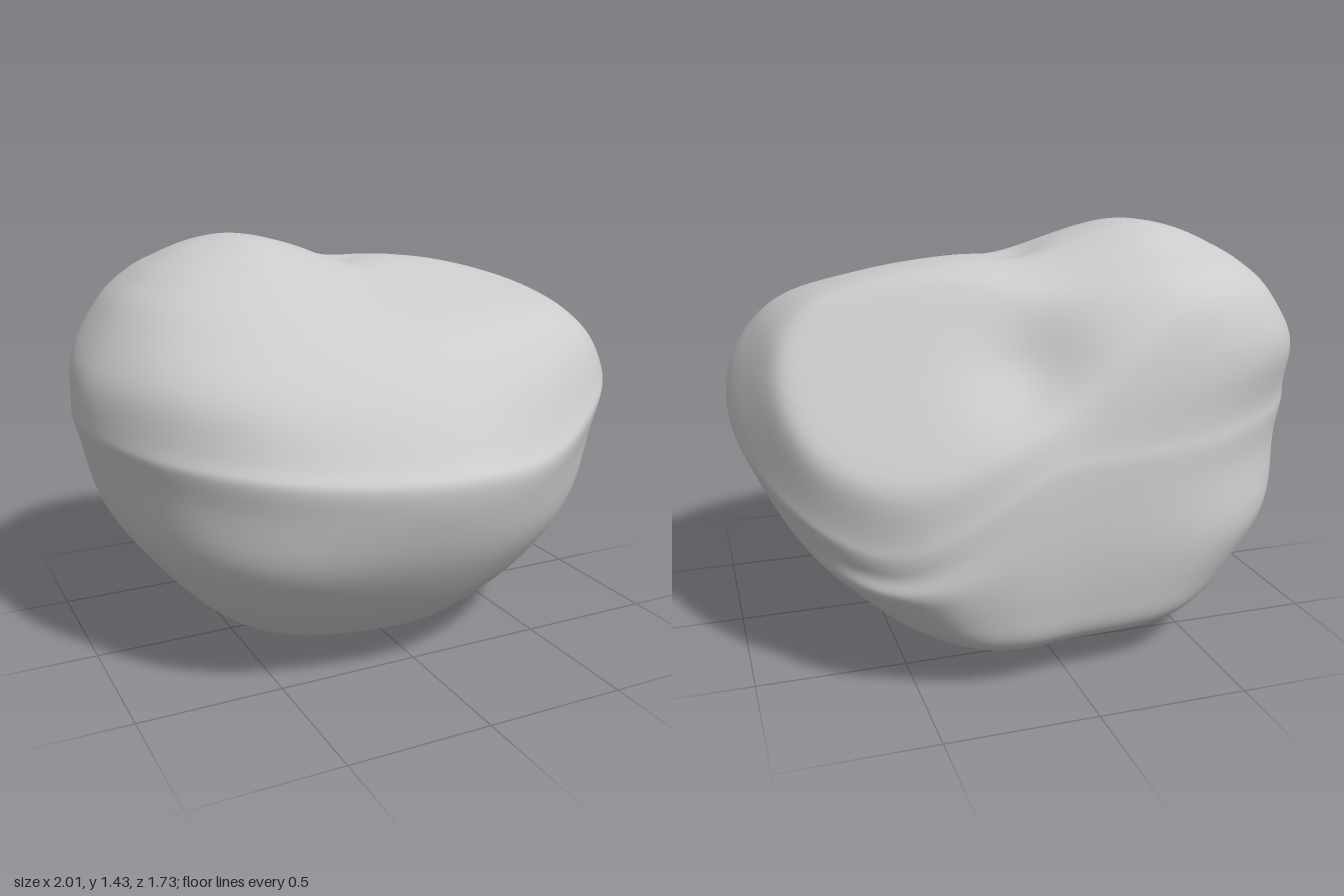
import * as THREE from 'three';

// Horizontal slices: height, xMin, xMax, zMin, zMax, centre x, centre z
const SLICES = [
  [0.0, 0.03, 0.13, -0.1, 0.05, 0.08, 0],
  [0.015, -0.32, 0.17, -0.3, 0.18, 0.05, 0],
  [0.045, -0.43, 0.25, -0.47, 0.31, 0.03, 0],
  [0.1, -0.55, 0.37, -0.67, 0.43, 0.02, 0],
  [0.17, -0.64, 0.56, -0.79, 0.53, 0, 0],
  [0.3, -0.76, 0.72, -0.83, 0.66, 0, 0],
  [0.5, -0.91, 0.87, -0.855, 0.79, 0, 0],
  [0.73, -0.985, 0.98, -0.86, 0.86, 0, 0],
  [0.82, -1.0, 1.0, -0.85, 0.81, 0, 0],
  [1.0, -0.97, 0.94, -0.83, 0.67, 0, -0.04],
  [1.2, -0.85, 0.82, -0.78, 0.43, -0.02, -0.11],
  [1.3, -0.74, 0.74, -0.69, 0.26, -0.04, -0.16],
  [1.36, -0.64, 0.64, -0.55, 0.13, -0.06, -0.19],
  [1.4, -0.55, 0.52, -0.45, 0.03, -0.08, -0.21],
  [1.425, -0.45, 0.38, -0.37, -0.06, -0.1, -0.22],
  [1.44, -0.3, 0.2, -0.3, -0.14, -0.1, -0.22],
  [1.445, -0.11, -0.09, -0.23, -0.21, -0.1, -0.22],
];

// Plan outline (x, z), shared by all slices and stretched to their extents
const OUTLINE = [
  [1, -0.1], [0.97, 0.2], [0.85, 0.4], [0.6, 0.61], [0.3, 0.78], [0.1, 0.85],
  [-0.1, 0.86], [-0.4, 0.79], [-0.62, 0.68], [-0.81, 0.5], [-0.94, 0.27],
  [-1, 0], [-0.95, -0.35], [-0.81, -0.58], [-0.61, -0.73], [-0.4, -0.81],
  [0, -0.85], [0.3, -0.86], [0.53, -0.81], [0.77, -0.64], [0.92, -0.4],
];

// Worn facet high on the back
const FACET_NORMAL = new THREE.Vector3(0.33, 0.61, -0.72).normalize();
const FACET_DISTANCE = 1.19;
const FACET_SOFTNESS = 0.03;

// Dents: centre, radius, push
const DENTS = [
  [new THREE.Vector3(0.03, 1.34, -0.2), 0.1, new THREE.Vector3(0, -0.025, 0)],
  [new THREE.Vector3(0.12, 1.03, -0.7), 0.17, new THREE.Vector3(-0.01, -0.03, 0.06)],
  [new THREE.Vector3(0.4, 0.13, -0.2), 0.2, new THREE.Vector3(-0.01, 0.03, 0)],
];

const { smoothstep, clamp } = THREE.MathUtils;

// Smooth interpolation along the slice table
function sliceAt(t) {
  const n = SLICES.length - 1;
  const i = Math.min(Math.floor(t * n), n - 1);
  const f = t * n - i;
  const row = (k) => SLICES[clamp(k, 0, n)];
  return SLICES[0].map((_, c) => {
    const a = row(i - 1)[c], b = row(i)[c], d = row(i + 1)[c], e = row(i + 2)[c];
    const m0 = (d - a) / 2, m1 = (e - b) / 2;
    return b + f * (m0 + f * (3 * (d - b) - 2 * m0 - m1 + f * (2 * (b - d) + m0 + m1)));
  });
}

function weather(p) {
  // The crown sinks on the +x side
  p.y -= 0.11 * smoothstep(p.x, -0.42, 0.12) * smoothstep(p.y, 1.08, 1.42);
  // The waist crease peaks on the +x flank and falls away to front and back
  const waist = Math.exp(-(((p.y - 0.78) / 0.3) ** 2));
  const rise = 0.16 - 0.42 * Math.hypot(p.z - 0.28, 0.1);
  p.y += waist * (p.x > 0 ? rise * smoothstep(p.x, 0, 0.7) : 0.05 * p.x * p.x);

  const over = p.dot(FACET_NORMAL) - FACET_DISTANCE;
  p.addScaledVector(FACET_NORMAL, -(over + Math.hypot(over, FACET_SOFTNESS)) / 2);
  for (const [centre, radius, push] of DENTS) {
    p.addScaledVector(push, Math.exp(-p.distanceToSquared(centre) / (radius * radius)));
  }
  return p;
}

function rockGeometry(rows = 128, cols = 144) {
  const curve = new THREE.CatmullRomCurve3(
    OUTLINE.map(([x, z]) => new THREE.Vector3(x, 0, z / 0.86)), true);
  const outline = curve.getSpacedPoints(cols);
  const positions = [], indices = [];
  const add = (x, y, z) => positions.push(...weather(new THREE.Vector3(x, y, z)).toArray());

  for (let i = 0; i <= rows; i++) {
    const [y, x0, x1, z0, z1, cx, cz] = sliceAt(i / rows);
    // Slices grow squarer away from the waist
    const square = 0.12 * smoothstep(Math.abs(y - 0.75), 0.05, 0.35);
    for (let j = 0; j < cols; j++) {
      const x = outline[j].x * (1 + square * outline[j].z ** 2);
      const z = outline[j].z * (1 + square * outline[j].x ** 2);
      add(cx + x * (x > 0 ? x1 - cx : cx - x0), y, cz + z * (z > 0 ? z1 - cz : cz - z0));
    }
  }
  for (let i = 0; i < rows; i++) {
    for (let j = 0; j < cols; j++) {
      const k = (j + 1) % cols;
      const a = i * cols + j, b = i * cols + k, c = a + cols, d = b + cols;
      indices.push(a, c, b, b, c, d);
    }
  }
  // Close the underside and the crown
  const bottom = positions.length / 3, top = bottom + 1, last = rows * cols;
  add(0.08, 0, 0);
  add(-0.1, 1.445, -0.22);
  for (let j = 0; j < cols; j++) {
    const k = (j + 1) % cols;
    indices.push(bottom, j, k, top, last + k, last + j);
  }

  const geometry = new THREE.BufferGeometry();
  geometry.setAttribute('position', new THREE.Float32BufferAttribute(positions, 3));
  geometry.setIndex(indices);
  geometry.computeBoundingBox();
  const box = geometry.boundingBox;
  geometry.translate(-(box.min.x + box.max.x) / 2, -box.min.y, -(box.min.z + box.max.z) / 2);
  geometry.computeVertexNormals();
  return geometry;
}

export function createModel() {
  const group = new THREE.Group();
  group.name = 'boulder';
  const rock = new THREE.Mesh(rockGeometry(), new THREE.MeshStandardMaterial({ color: 0xcccccc }));
  rock.name = 'rock';
  group.add(rock);
  return group;
}
